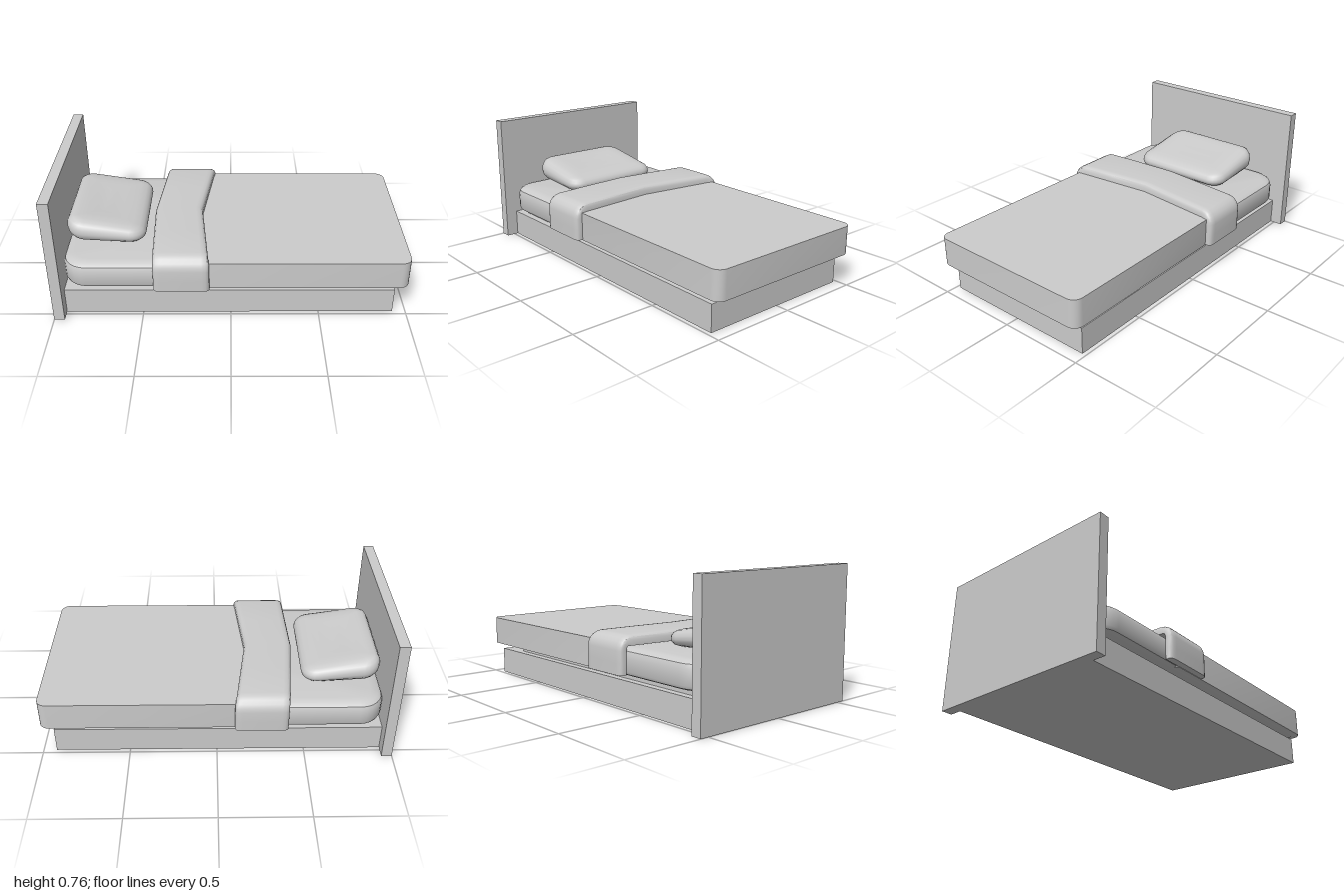
import * as THREE from 'three';
import { toCreasedNormals } from 'three/addons/utils/BufferGeometryUtils.js';

const { lerp, clamp } = THREE.MathUtils;
const material = new THREE.MeshStandardMaterial({ color: 0xcccccc });

// Joins closed rings of points into a solid with fanned end caps.
function loft(rings, crease = 0.6) {
  const n = rings[0].length, pos = [], index = [];
  rings.forEach(ring => ring.forEach(p => pos.push(...p)));
  for (let k = 0; k < rings.length - 1; k++) {
    for (let i = 0; i < n; i++) {
      const j = (i + 1) % n, a = k * n, b = a + n;
      index.push(a + i, a + j, b + j, a + i, b + j, b + i);
    }
  }
  [0, rings.length - 1].forEach((k, end) => {
    const c = pos.length / 3;
    pos.push(...[0, 1, 2].map(d => rings[k].reduce((s, p) => s + p[d], 0) / n));
    for (let i = 0; i < n; i++) {
      const a = k * n + i, b = k * n + (i + 1) % n;
      if (end) index.push(c, a, b);
      else index.push(c, b, a);
    }
  });
  const geometry = new THREE.BufferGeometry();
  geometry.setAttribute('position', new THREE.Float32BufferAttribute(pos, 3));
  geometry.setIndex(index);
  return toCreasedNormals(geometry, crease);
}

// Rounded rectangle in plan, with separate radii at the head (-x) and foot (+x).
function outline(x0, x1, halfZ, headR, footR, inset, height) {
  const ring = [], steps = 6;
  for (let q = 0; q < 4; q++) {
    const sx = q === 0 || q === 3 ? 1 : -1, sz = q < 2 ? -1 : 1;
    const r = Math.max((sx > 0 ? footR : headR) - inset, 0.015);
    const cx = sx > 0 ? x1 - inset - r : x0 + inset + r;
    const cz = sz * (halfZ - inset - r);
    for (let i = 0; i <= steps; i++) {
      const t = (q + i / steps) * Math.PI / 2;
      const x = cx + r * Math.cos(t), z = cz - r * Math.sin(t);
      ring.push([x, height(x, z), z]);
    }
  }
  return ring;
}

export function createModel() {
  const bed = new THREE.Group();
  bed.name = 'bed';
  const add = (name, geometry) => {
    const mesh = new THREE.Mesh(geometry, material);
    mesh.name = name;
    bed.add(mesh);
  };
  const addBox = (name, x0, x1, y0, y1, halfZ) => add(name,
    new THREE.BoxGeometry(x1 - x0, y1 - y0, halfZ * 2)
      .translate((x0 + x1) / 2, (y0 + y1) / 2, 0));

  // Frame
  addBox('headboard', -1, -0.94, 0, 0.765, 0.55);
  addBox('base', -0.94, 0.925, 0, 0.155, 0.477);
  addBox('riser', -0.855, 0.75, 0.155, 0.19, 0.435);

  // Mattress with soft edges: [inset, y]
  const mattress = [[0.08, 0.184], [0.03, 0.188], [0.008, 0.198], [0, 0.215],
    [0, 0.3], [0.008, 0.322], [0.03, 0.337], [0.07, 0.343]];
  add('mattress', loft(mattress.map(([inset, y]) =>
    outline(-0.94, 0.99, 0.505, 0.14, 0.06, inset, () => y))));

  // Blanket covering the foot end
  add('blanket', loft([0.192, 0.357].map(y =>
    outline(-0.33, 1, 0.508, 0.015, 0.055, 0, () => y))));

  // Folded blanket edge: stations [outer z, outer y, inner z, inner y]
  const half = [[0.545, 0.195, 0.505, 0.195], [0.545, 0.26, 0.505, 0.26]];
  for (let i = 0; i <= 5; i++) {
    const t = i / 5 * Math.PI / 2, c = Math.cos(t), s = Math.sin(t);
    half.push([0.465 + 0.08 * c, 0.325 + 0.08 * s,
      0.465 + 0.04 * c, Math.min(0.325 + 0.04 * s, 0.35)]);
  }
  half.push([0.25, 0.408, 0.25, 0.35]);
  const stations = [...half, [0, 0.41, 0, 0.35],
    ...half.slice().reverse().map(([a, b, c, d]) => [-a, b, -c, d])];
  // Cross-section: [side, inset from that side, height]
  const section = [[0, 0, 0], [0, 0, 0.55], [0, 0.007, 0.82], [0, 0.02, 0.96], [0, 0.04, 1],
    [1, 0.04, 1], [1, 0.02, 0.96], [1, 0.007, 0.82], [1, 0, 0.55], [1, 0, 0]];
  add('foldedEdge', loft(stations.map(([oz, oy, iz, iy]) => {
    const t = Math.abs(oz) / 0.545;
    const left = lerp(-0.45, oz > 0 ? -0.43 : -0.4, t);
    const right = lerp(-0.168, oz > 0 ? -0.12 : -0.1, t);
    return section.map(([side, inset, h]) =>
      [side ? right - inset : left + inset, lerp(iy, oy, h), lerp(iz, oz, h)]);
  })));

  // Pillow sloping away from the headboard: [inset, level from bottom to top]
  const bottom = x => lerp(0.368, 0.344, clamp((x + 0.937) / 0.2, 0, 1));
  const top = (x, z) => {
    const u = clamp((x + 0.937) / 0.45, 0, 1);
    return lerp(0.503, 0.425, Math.pow(u, 0.85)) - 0.006 * Math.cos(z * 14) * (1 - u);
  };
  const pillow = [[0.1, 0], [0.05, 0.02], [0.02, 0.12], [0.005, 0.27], [0, 0.45], [0.003, 0.65],
    [0.015, 0.83], [0.035, 0.94], [0.07, 0.99], [0.12, 1], [0.17, 1], [0.205, 1]];
  add('pillow', loft(pillow.map(([inset, v]) =>
    outline(-0.937, -0.487, 0.317, 0.1, 0.09, inset,
      (x, z) => lerp(bottom(x), top(x, z), v))), 0.9).translate(0, 0, -0.008));

  return bed;
}
